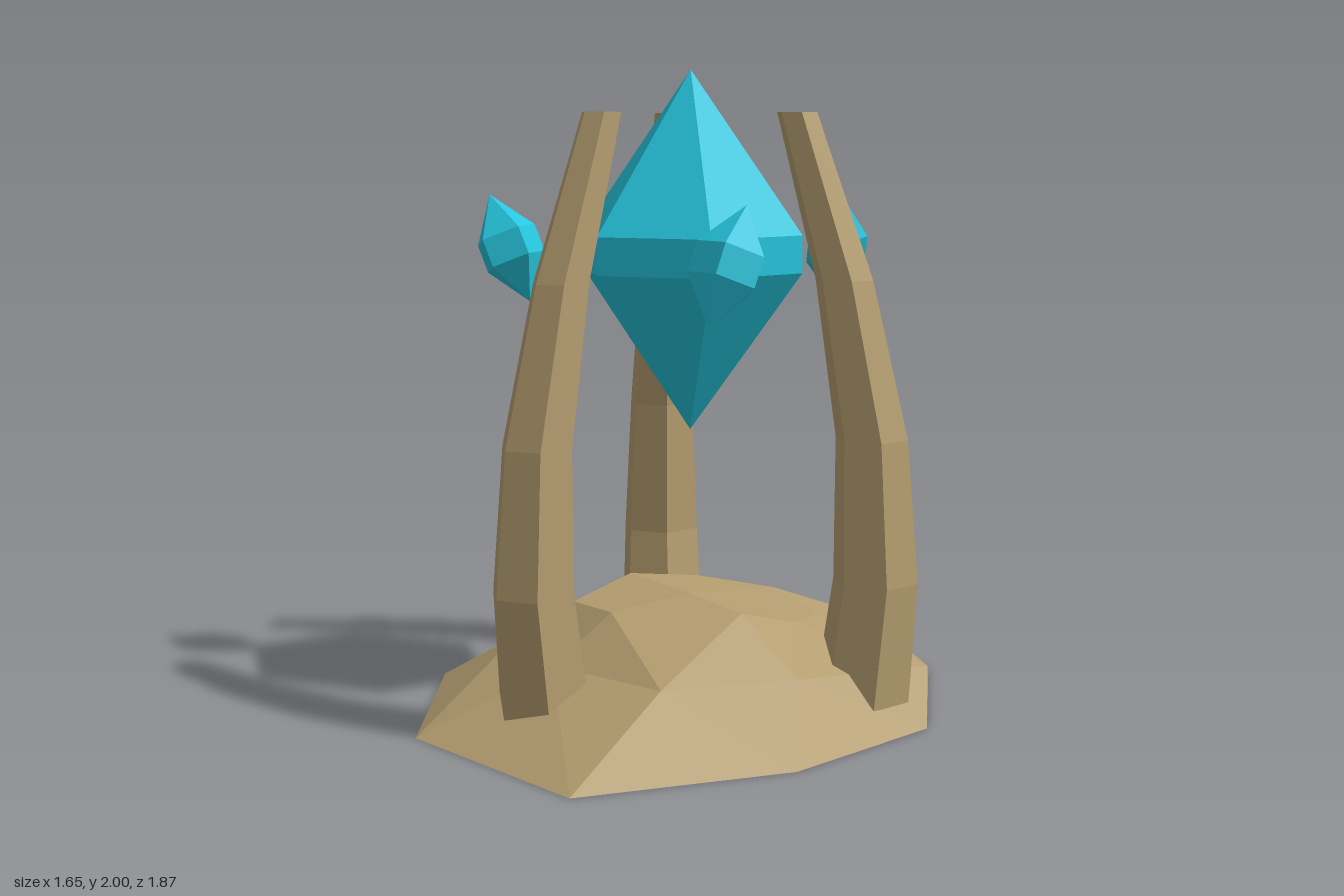
import * as THREE from 'three';

const CX = 0.05, CZ = -0.02;

// Faceted skin over rings listed bottom to top; a ring of one point closes to a fan.
function loft(rings) {
  const pos = [];
  const tri = (...pts) => pts.forEach((p) => pos.push(...p));
  for (let i = 0; i < rings.length - 1; i++) {
    const lo = rings[i], up = rings[i + 1];
    const n = Math.max(lo.length, up.length);
    for (let j = 0; j < n; j++) {
      const a = lo[j % lo.length], b = lo[(j + 1) % lo.length];
      const c = up[j % up.length], d = up[(j + 1) % up.length];
      if (up.length > 1) tri(a, c, d);
      if (lo.length > 1) tri(a, d, b);
    }
  }
  const g = new THREE.BufferGeometry();
  g.setAttribute('position', new THREE.Float32BufferAttribute(pos, 3));
  g.computeVertexNormals();
  return g;
}

// Regular horizontal ring
function ring(n, r, y, x = 0) {
  return Array.from({ length: n }, (_, i) => {
    const a = (i / n) * Math.PI * 2;
    return [x + r * Math.cos(a), y, r * Math.sin(a)];
  });
}

// Double-pointed crystal with a straight belt
function crystalGeometry(sides, r, belt, half) {
  return loft([[[0, -half, 0]], ring(sides, r, -belt), ring(sides, r, belt), [[0, half, 0]]]);
}

export function createModel() {
  const model = new THREE.Group();
  const stone = new THREE.MeshStandardMaterial({ name: 'sandstone', color: 0xb59e70, flatShading: true });
  const cyan = new THREE.MeshStandardMaterial({ name: 'cyanCrystal', color: 0x26c6de, flatShading: true });

  function add(parent, name, geometry, material) {
    const mesh = new THREE.Mesh(geometry, material);
    mesh.name = name;
    parent.add(mesh);
    return mesh;
  }

  // Irregular rocky mound: ground outline, shoulder, crest and summit
  const outline = [[0.825, -0.02], [0.57, 0.5], [0.05, 0.93], [-0.595, 0.62],
    [-0.83, -0.02], [-0.59, -0.66], [0.05, -0.935], [0.68, -0.655]].map(([x, z]) => [x, 0, z]);
  const shoulder = [[0.79, 0.155, -0.165], [0.5, 0.2, 0.27], [0.16, 0.2, 0.52], [-0.24, 0.2, 0.4],
    [-0.51, 0.19, 0.1], [-0.5, 0.19, -0.37], [-0.09, 0.2, -0.7], [0.46, 0.17, -0.645]];
  const crest = [[0.42, 0.28, -0.2], [0.4, 0.3, 0], [0.29, 0.36, 0.18], [-0.1, 0.35, 0.27],
    [-0.31, 0.32, 0.08], [-0.24, 0.35, -0.23], [-0.05, 0.33, -0.36], [0.2, 0.3, -0.41]];
  add(model, 'rockBase', loft([[[CX, 0, CZ]], outline, shoulder, crest, [[CX, 0.355, CZ]]]), stone);

  // Three tapering claws curving in over the mound: [height, distance out, radius]
  const claw = [[0.02, 0.56, 0.152], [0.45, 0.605, 0.133], [0.89, 0.587, 0.113], [1.37, 0.495, 0.09], [1.87, 0.342, 0.063]];
  const clawGeometry = loft([
    [[0.56, 0.02, 0]],
    ...claw.map(([y, x, r]) => ring(6, r, y, x)),
    [[0.342, 1.87, 0]],
  ]);
  for (let i = 0; i < 3; i++) {
    const mesh = add(model, 'stoneClaw' + (i + 1), clawGeometry, stone);
    mesh.position.set(CX, 0, CZ);
    mesh.rotation.y = (i * Math.PI * 2) / 3;
  }

  // Large floating crystal
  add(model, 'mainCrystal', crystalGeometry(6, 0.363, 0.0575, 0.5575), cyan).position.set(CX, 1.4425, CZ);

  // Three small tilted crystals between the claws
  const shard = crystalGeometry(5, 0.104, 0.046, 0.184);
  for (let i = 0; i < 3; i++) {
    const a = Math.PI / 3 + (i * Math.PI * 2) / 3;
    const holder = new THREE.Group();
    holder.name = 'smallCrystal' + (i + 1);
    holder.position.set(CX + 0.62 * Math.cos(a), 1.44, CZ + 0.62 * Math.sin(a));
    holder.rotation.y = a;
    add(holder, 'shard', shard, cyan).rotation.z = -0.39;
    model.add(holder);
  }

  return model;
}
